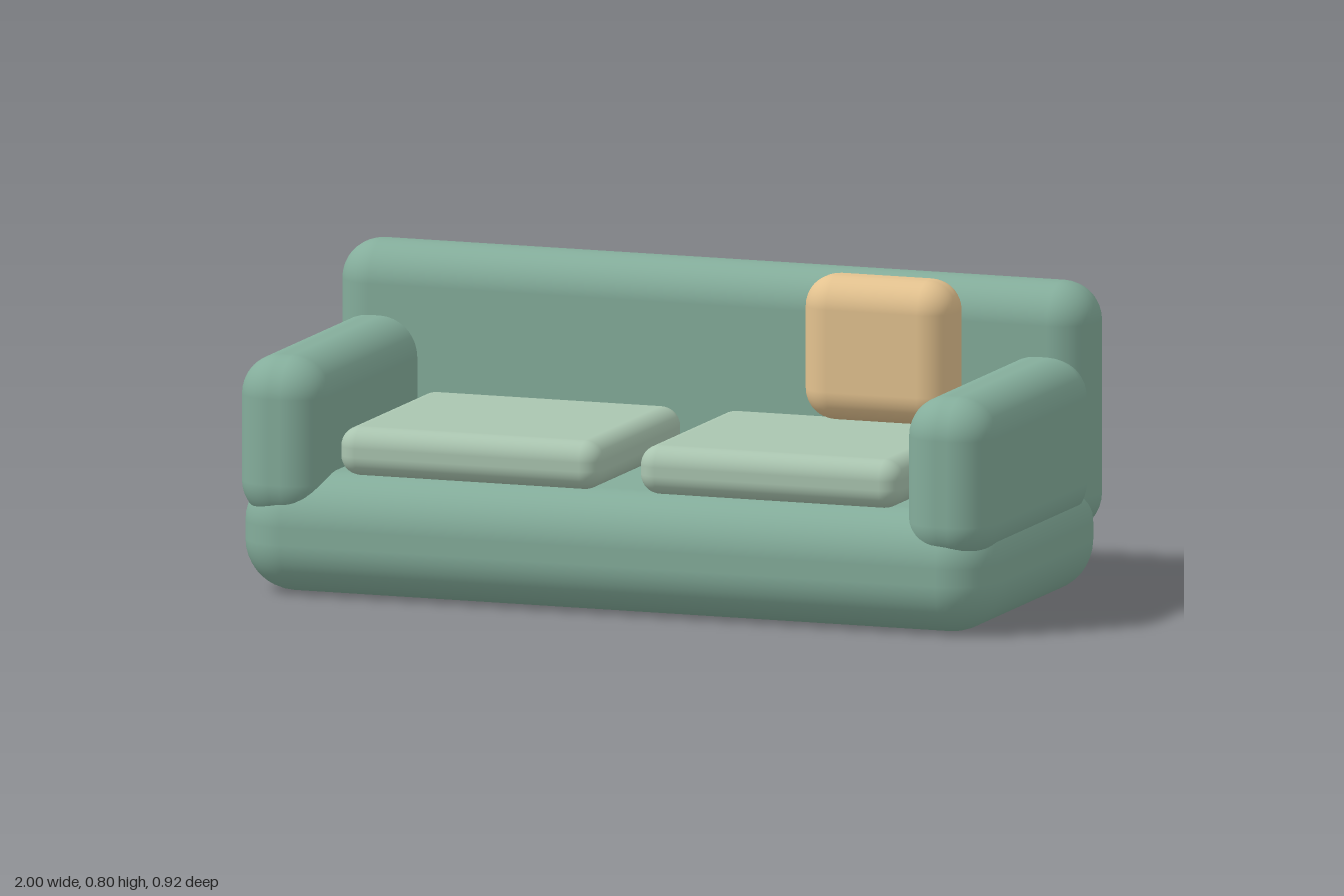
import * as THREE from 'three';
import { RoundedBoxGeometry } from 'three/addons/geometries/RoundedBoxGeometry.js';

const fabric = new THREE.MeshStandardMaterial({ color: 0x84ad9b });
const cushionFabric = new THREE.MeshStandardMaterial({ color: 0xaac5b0 });
const pillowFabric = new THREE.MeshStandardMaterial({ color: 0xe3c28f });

// Soft box spanning the given [min, max] ranges
function softBox(name, [x0, x1], [y0, y1], [z0, z1], radius, material) {
  const geometry = new RoundedBoxGeometry(x1 - x0, y1 - y0, z1 - z0, 5, radius);
  const mesh = new THREE.Mesh(geometry, material);
  mesh.name = name;
  mesh.position.set((x0 + x1) / 2, (y0 + y1) / 2, (z0 + z1) / 2);
  return mesh;
}

export function createModel() {
  const sofa = new THREE.Group();
  sofa.name = 'sofa';

  // Base and backrest
  sofa.add(softBox('base', [-1, 1], [0, 0.305], [-0.42, 0.46], 0.13, fabric));
  sofa.add(softBox('backrest', [-1, 1], [0.14, 0.775], [-0.458, -0.252], 0.1, fabric));

  // Armrests and seat cushions, mirrored left and right
  for (const [side, s] of [['left', 1], ['right', -1]]) {
    const arm = softBox(side + 'Armrest', [0.77, 1], [0.18, 0.597], [-0.35, 0.46], 0.1, fabric);
    const cushion = softBox(side + 'SeatCushion', [0.05, 0.745], [0.302, 0.425], [-0.232, 0.396], 0.05, cushionFabric);
    for (const part of [arm, cushion]) {
      part.position.x *= s;
      sofa.add(part);
    }
  }

  // Throw pillow
  sofa.add(softBox('throwPillow', [0.32, 0.716], [0.436, 0.8], [-0.203, -0.028], 0.078, pillowFabric));

  return sofa;
}
